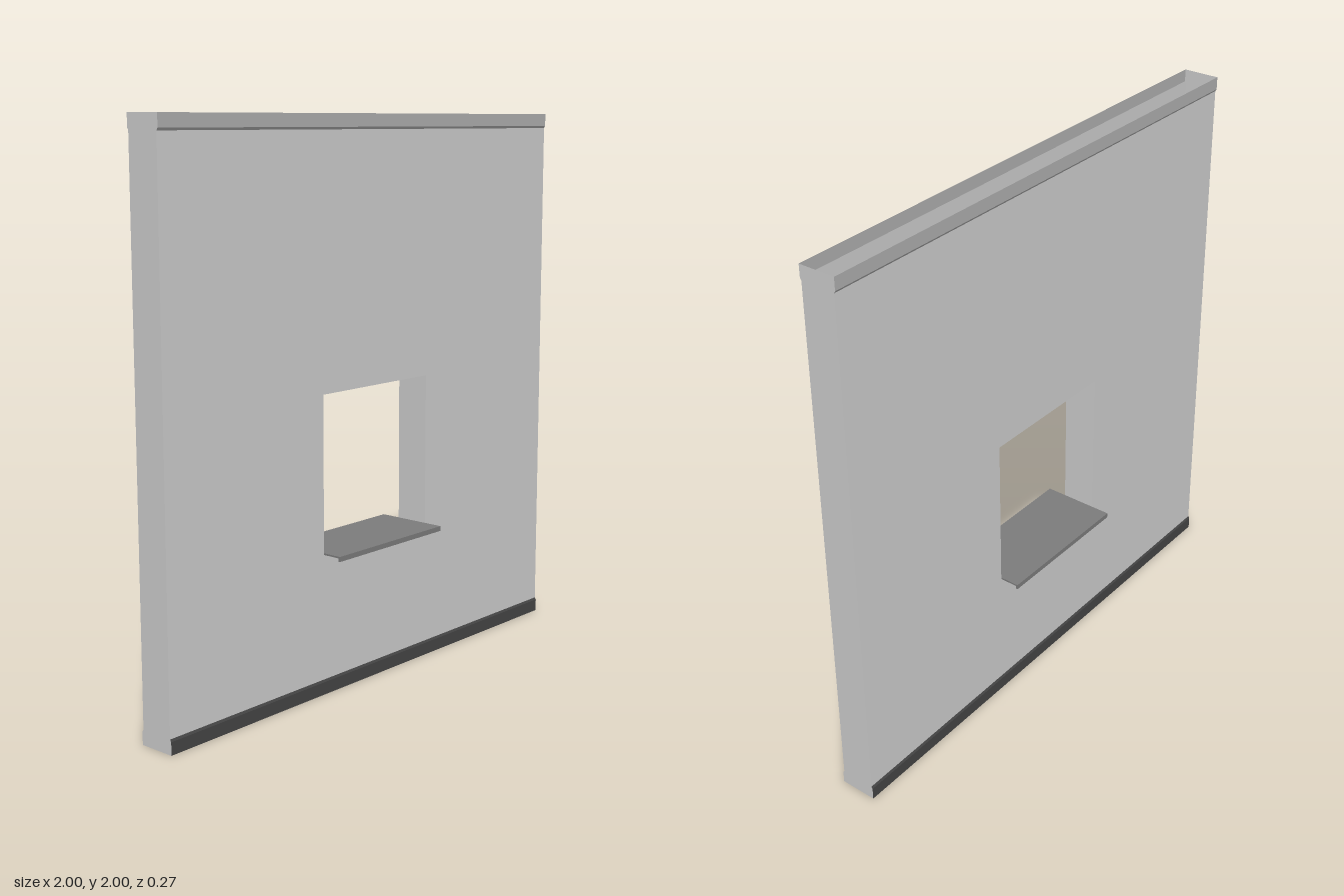
import * as THREE from 'three';

const HALF_W = 1;            // half width of the wall
const WALL_Z = 0.063;        // half thickness of the wall
const TRIM_Z = 0.068;        // half thickness at the trims
const OPEN_X = 0.277;        // half width of the window opening
const OPEN_BOTTOM = 0.505, OPEN_TOP = 1.062;

const paint = (color) => new THREE.MeshStandardMaterial({ color, side: THREE.DoubleSide });

function part(name, geometry, material, parent) {
  const mesh = new THREE.Mesh(geometry, material);
  mesh.name = name;
  parent.add(mesh);
  return mesh;
}

// Flat-shaded sheet: an open [z, y] profile, bottom to top, swept across the wall width
function sweepAcross(profile) {
  const pos = [];
  for (let i = 0; i < profile.length - 1; i++) {
    const [z0, y0] = profile[i], [z1, y1] = profile[i + 1];
    const a = [-HALF_W, y0, z0], b = [HALF_W, y0, z0];
    const c = [HALF_W, y1, z1], d = [-HALF_W, y1, z1];
    pos.push(...a, ...b, ...c, ...a, ...c, ...d);
  }
  const g = new THREE.BufferGeometry();
  g.setAttribute('position', new THREE.Float32BufferAttribute(pos, 3));
  g.computeVertexNormals();
  return g;
}

function shapeOf(points) {
  return new THREE.Shape(points.map(([x, y]) => new THREE.Vector2(x, y)));
}

export function createModel() {
  const model = new THREE.Group();
  model.name = 'windowWall';
  const grey = paint(0xcccccc);
  const crownGrey = paint(0xadadad);
  const baseDark = paint(0x444444);
  const sillGrey = paint(0x7b7b7b);

  const baseProfile = [[TRIM_Z, 0], [TRIM_Z, 0.045], [WALL_Z, 0.053]];
  const crownProfile = [[WALL_Z, 1.947], [TRIM_Z, 1.955], [TRIM_Z, 2]];

  // Wall panel with the window opening
  const panel = shapeOf([[-HALF_W, 0.053], [HALF_W, 0.053], [HALF_W, 1.947], [-HALF_W, 1.947]]);
  panel.holes.push(new THREE.Path([
    [-OPEN_X, OPEN_BOTTOM], [-OPEN_X, OPEN_TOP], [OPEN_X, OPEN_TOP], [OPEN_X, OPEN_BOTTOM],
  ].map(([x, y]) => new THREE.Vector2(x, y))));
  const panelGeo = new THREE.ShapeGeometry(panel).translate(0, 0, WALL_Z);
  const baseGeo = sweepAcross(baseProfile);
  const crownGeo = sweepAcross(crownProfile);

  // Front and back faces, each with base and crown trim
  for (const side of ['front', 'back']) {
    const face = new THREE.Group();
    face.name = side + 'Face';
    part('wallPanel', panelGeo, grey, face);
    part('baseboard', baseGeo, baseDark, face);
    part('crownTrim', crownGeo, crownGrey, face);
    if (side === 'back') face.rotation.y = Math.PI;
    model.add(face);
  }

  // End caps follow the trim outline; the top and bottom stay open
  const half = [...baseProfile, ...crownProfile];
  const capGeo = new THREE.ShapeGeometry(
    shapeOf([...half, ...half.map(([z, y]) => [-z, y]).reverse()]));
  for (const s of [-1, 1]) {
    const cap = part(s > 0 ? 'leftEnd' : 'rightEnd', capGeo, grey, model);
    cap.rotation.y = s * Math.PI / 2;
    cap.position.x = s * HALF_W;
  }

  // Window reveal: two jambs and a lintel
  const openH = OPEN_TOP - OPEN_BOTTOM;
  const jambGeo = new THREE.PlaneGeometry(2 * WALL_Z, openH);
  for (const s of [-1, 1]) {
    const jamb = part(s > 0 ? 'leftJamb' : 'rightJamb', jambGeo, grey, model);
    jamb.rotation.y = -s * Math.PI / 2;
    jamb.position.set(s * OPEN_X, OPEN_BOTTOM + openH / 2, 0);
  }
  const lintel = part('lintel', new THREE.PlaneGeometry(2 * OPEN_X, 2 * WALL_Z), grey, model);
  lintel.rotation.x = Math.PI / 2;
  lintel.position.y = OPEN_TOP;

  // Window sill: thin board with a turned-down lip at both edges
  const lip = [[0.129, 0.502], [0.129, 0.49], [0.136, 0.49], [0.136, 0.508]];
  const sillShape = shapeOf([...lip, ...lip.map(([z, y]) => [-z, y]).reverse()]);
  const sillGeo = new THREE.ExtrudeGeometry(sillShape, { depth: 2 * OPEN_X, bevelEnabled: false });
  sillGeo.translate(0, 0, -OPEN_X).rotateY(Math.PI / 2);
  part('windowSill', sillGeo, sillGrey, model);

  return model;
}
